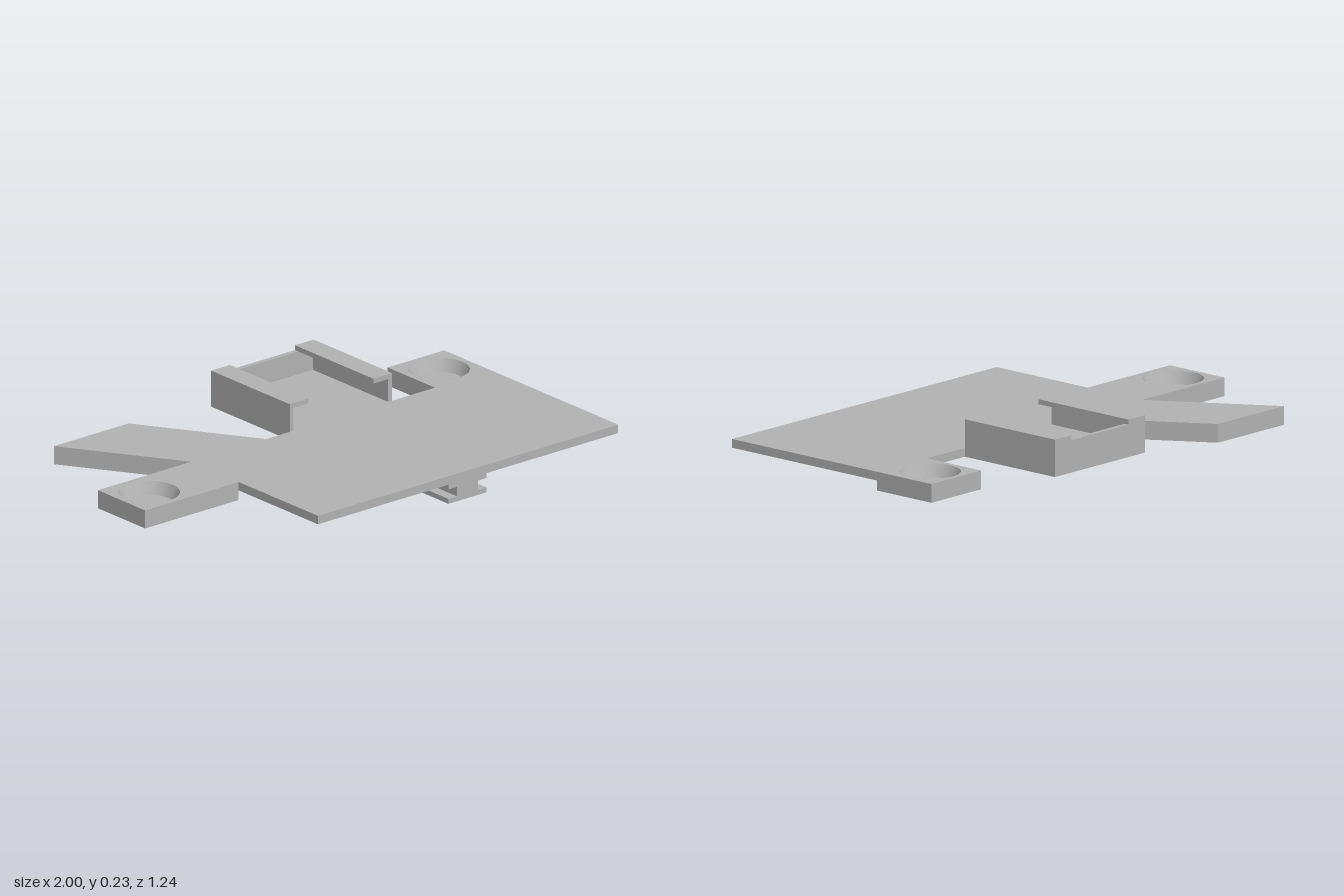
import * as THREE from 'three';

const BOTTOM = 0.04, PLATE = 0.08, TOP = 0.115, FLOOR = 0.065;

export function createModel() {
  const model = new THREE.Group();
  model.name = 'mountingPlate';
  const grey = new THREE.MeshStandardMaterial({ color: 0xb2b2b2, side: THREE.DoubleSide });
  grey.name = 'grey';

  const add = (name, geometry, parent = model) => {
    const mesh = new THREE.Mesh(geometry, grey);
    mesh.name = name;
    parent.add(mesh);
    return mesh;
  };

  // Box given by its limits on each axis
  const box = (name, x0, x1, y0, y1, z0, z1, parent) =>
    add(name, new THREE.BoxGeometry(x1 - x0, y1 - y0, z1 - z0), parent)
      .position.set((x0 + x1) / 2, (y0 + y1) / 2, (z0 + z1) / 2);

  // Slab from an outline of [x, z] corners, optionally with a round hole
  const slab = (outline, y0, y1, hole) => {
    const shape = new THREE.Shape(outline.map(([x, z]) => new THREE.Vector2(x, -z)));
    if (hole) shape.holes.push(new THREE.Path().absarc(hole[0], -hole[1], 0.12, 0, Math.PI * 2, true));
    return new THREE.ExtrudeGeometry(shape, { depth: y1 - y0, bevelEnabled: false, curveSegments: 48 })
      .rotateX(-Math.PI / 2).translate(0, y0, 0);
  };

  // Arm with a shallow tapered round recess
  const arm = (name, outline, [x, z]) => {
    const group = new THREE.Group();
    group.name = name;
    add(name + 'Base', slab(outline, BOTTOM, FLOOR), group);
    add(name + 'Rim', slab(outline, FLOOR, TOP, [x, z]), group);
    const wall = new THREE.CylinderGeometry(0.12, 0.098, TOP - FLOOR, 48, 1, true);
    add(name + 'RecessWall', wall, group).position.set(x, (TOP + FLOOR) / 2, z);
    model.add(group);
  };

  box('mainPlate', -0.525, 1, PLATE, TOP, -0.145, 0.618);

  arm('sideArm', [[-1, 0.14], [-0.525, 0.14], [-0.525, -0.145], [-1, -0.145]], [-0.86, -0.003]);
  arm('slantedArm', [[-0.525, -0.145], [-0.145, -0.145], [-0.445, -0.618], [-0.825, -0.618]], [-0.535, -0.46]);
  arm('cornerArm', [[0.713, -0.145], [1, -0.145], [1, -0.43], [0.713, -0.43]], [0.855, -0.29]);

  // Open-fronted holder with overhanging lips
  const holder = new THREE.Group();
  holder.name = 'holder';
  model.add(holder);
  box('holderFloor', -0.025, 0.495, PLATE, TOP, -0.618, -0.145, holder);
  box('holderBack', -0.005, 0.475, TOP, 0.21, -0.618, -0.598, holder);
  for (const [name, side] of [['right', -1], ['left', 1]]) {
    const span = (outer, inner) => [0.235 + side * outer, 0.235 + side * inner].sort((a, b) => a - b);
    box(name + 'HolderWall', ...span(0.26, 0.24), TOP, 0.21, -0.618, -0.145, holder);
    box(name + 'HolderLip', ...span(0.26, 0.165), 0.21, 0.23, -0.618, -0.145, holder);
  }

  // I-section rail underneath
  const rail = new THREE.Group();
  rail.name = 'rail';
  model.add(rail);
  box('railFoot', 0.138, 0.332, 0, 0.02, 0.24, 0.618, rail);
  box('railWeb', 0.182, 0.288, 0.02, 0.06, 0.24, 0.618, rail);
  box('railHead', 0.138, 0.332, 0.06, PLATE, 0.24, 0.618, rail);

  return model;
}
